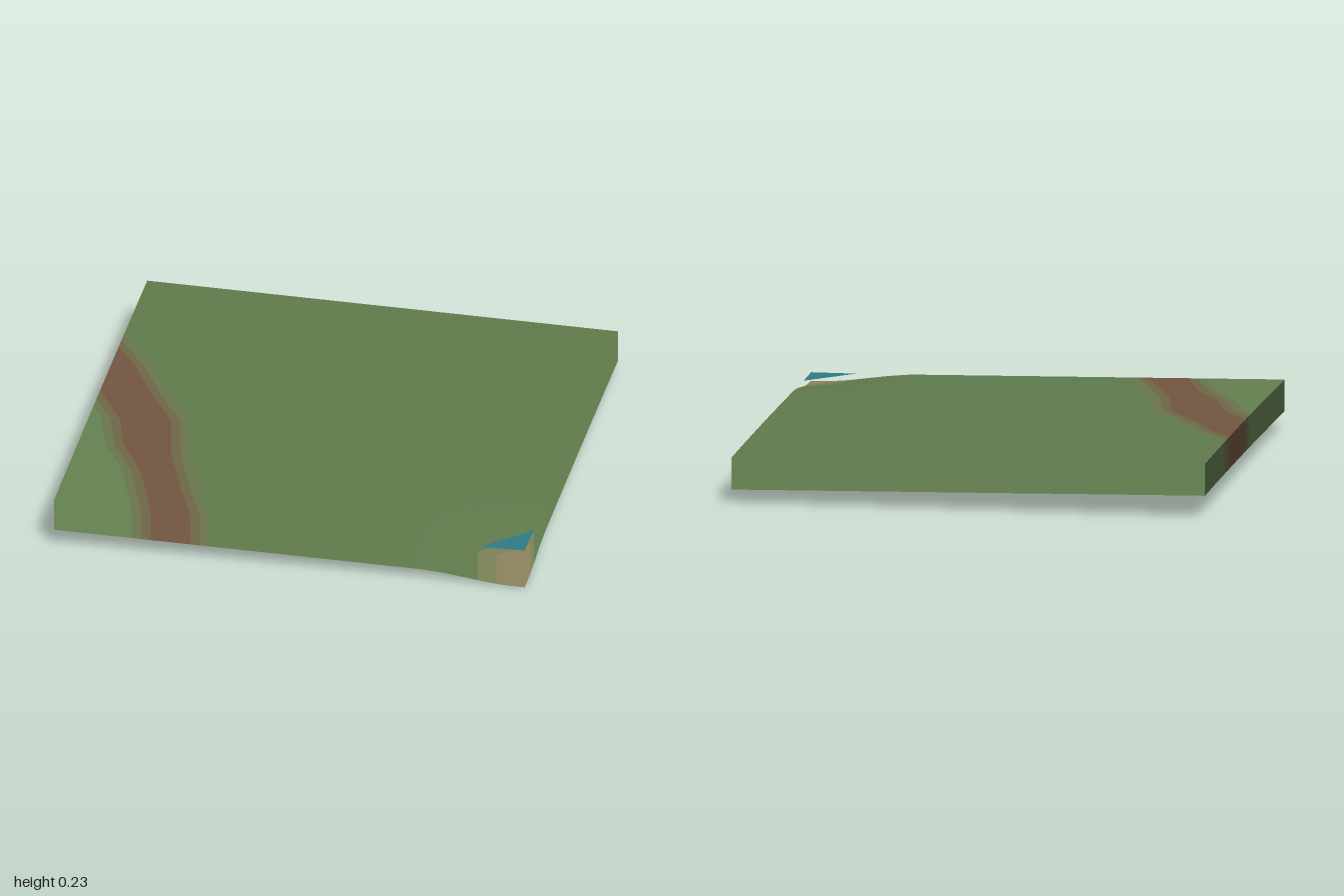
import * as THREE from 'three';

const THICKNESS = 0.135;
const ROWS = 50;
const COLS = 16;

// Gently sloping ground that dips at the front left corner
function height(x, z) {
  const dip = 1 - THREE.MathUtils.smoothstep(Math.hypot(1 - x, 1 - z), 0.05, 0.45);
  return 0.204 - 0.0188 * x - 0.0115 * z - 0.006 * z * z - 0.0325 * dip;
}

function groundNormal(x, z) {
  const e = 0.01;
  const dx = (height(x + e, z) - height(x - e, z)) / (2 * e);
  const dz = (height(x, z + e) - height(x, z - e)) / (2 * e);
  return new THREE.Vector3(-dx, 1, -dz).normalize().toArray();
}

// Piecewise-linear border x(z) through [z, x] points, kept on the tile when shifted
function border(points) {
  return (shift) => (z) => {
    let x = points[0][1] + (z - points[0][0]) * 0.6;
    for (let i = 1; i < points.length; i++) {
      const [z0, x0] = points[i - 1];
      const [z1, x1] = points[i];
      if (z > z0) x = x0 + ((x1 - x0) * (z - z0)) / (z1 - z0);
    }
    return Math.max(-1, x + shift);
  };
}

// Part of the ground between two borders, with a skirt hanging from the tile's
// edges; the skirt keeps the ground's normals and the tile is open below
function groundStrip(name, color, left, right) {
  const pos = [];
  const normals = [];
  const top = (x, z) => [x, height(x, z), z];
  const low = (x, z) => [x, height(x, z) - THICKNESS, z];
  const quad = (a, b, c, d) => {
    for (const p of [a, b, c, a, c, d]) {
      pos.push(...p);
      normals.push(...groundNormal(p[0], p[2]));
    }
  };

  for (let j = 0; j < ROWS; j++) {
    const z0 = -1 + (2 * j) / ROWS;
    const z1 = -1 + (2 * (j + 1)) / ROWS;
    const a0 = left(z0), a1 = left(z1), b0 = right(z0), b1 = right(z1);
    if (b0 - a0 < 1e-6 && b1 - a1 < 1e-6) continue;
    for (let i = 0; i < COLS; i++) {
      const s = i / COLS, t = (i + 1) / COLS;
      const p0 = a0 + (b0 - a0) * s, q0 = a0 + (b0 - a0) * t;
      const p1 = a1 + (b1 - a1) * s, q1 = a1 + (b1 - a1) * t;
      quad(top(p0, z0), top(p1, z1), top(q1, z1), top(q0, z0));
      if (j === 0) quad(low(q0, z0), low(p0, z0), top(p0, z0), top(q0, z0));
      if (j === ROWS - 1) quad(low(p1, z1), low(q1, z1), top(q1, z1), top(p1, z1));
    }
    if (Math.max(a0, a1) < -0.9999) quad(low(-1, z0), low(-1, z1), top(-1, z1), top(-1, z0));
    if (Math.min(b0, b1) > 0.9999) quad(low(1, z1), low(1, z0), top(1, z0), top(1, z1));
  }

  const geo = new THREE.BufferGeometry();
  geo.setAttribute('position', new THREE.Float32BufferAttribute(pos, 3));
  geo.setAttribute('normal', new THREE.Float32BufferAttribute(normals, 3));
  const mesh = new THREE.Mesh(geo, new THREE.MeshStandardMaterial({ color, side: THREE.DoubleSide }));
  mesh.name = name;
  return mesh;
}

export function createModel() {
  const group = new THREE.Group();
  group.name = 'terrainTile';

  const pathLeft = border([[0.08, -1], [0.24, -0.91], [0.46, -0.85], [0.66, -0.74], [1, -0.63]]);
  const pathRight = border([[-0.48, -1], [-0.24, -0.84], [0, -0.72], [0.2, -0.6], [0.5, -0.54], [0.76, -0.45], [1, -0.36]]);
  const shore = (width) => (z) => 1 - Math.max(0, z - 1 + width);
  const edge = (x) => () => x;

  // Ground from right to left; narrow verges blend one colour into the next
  const grass = new THREE.Color(0x637f50);
  const dirt = new THREE.Color(0x715540);
  const sand = new THREE.Color(0x8a805c);
  const mix = (a, b, t) => a.clone().lerp(b, t);
  const strips = [
    ['grassRight', grass, pathLeft(-0.04)],
    ['pathVergeRight', mix(grass, dirt, 0.33), pathLeft(0)],
    ['pathVergeRightInner', mix(grass, dirt, 0.67), pathLeft(0.04)],
    ['dirtPath', dirt, pathRight(-0.06)],
    ['pathVergeLeftInner', mix(grass, dirt, 0.67), pathRight(-0.02)],
    ['pathVergeLeft', mix(grass, dirt, 0.33), pathRight(0.02)],
    ['grassLeft', new THREE.Color(0x5e794b), shore(0.2)],
    ['sandVerge', mix(grass, sand, 0.5), shore(0.12)],
    ['sandyCorner', sand, edge(1)],
  ];
  let left = edge(-1);
  for (const [name, color, right] of strips) {
    group.add(groundStrip(name, color, left, right));
    left = right;
  }

  // Flat triangle of water above the low corner
  const outline = new THREE.Shape([
    new THREE.Vector2(0.81, -1),
    new THREE.Vector2(1, -1),
    new THREE.Vector2(1, -0.81),
  ]);
  const water = new THREE.Mesh(
    new THREE.ShapeGeometry(outline).rotateX(-Math.PI / 2),
    new THREE.MeshStandardMaterial({ color: 0x2f7a82, side: THREE.DoubleSide }),
  );
  water.name = 'water';
  water.position.y = 0.172;
  group.add(water);

  return group;
}
